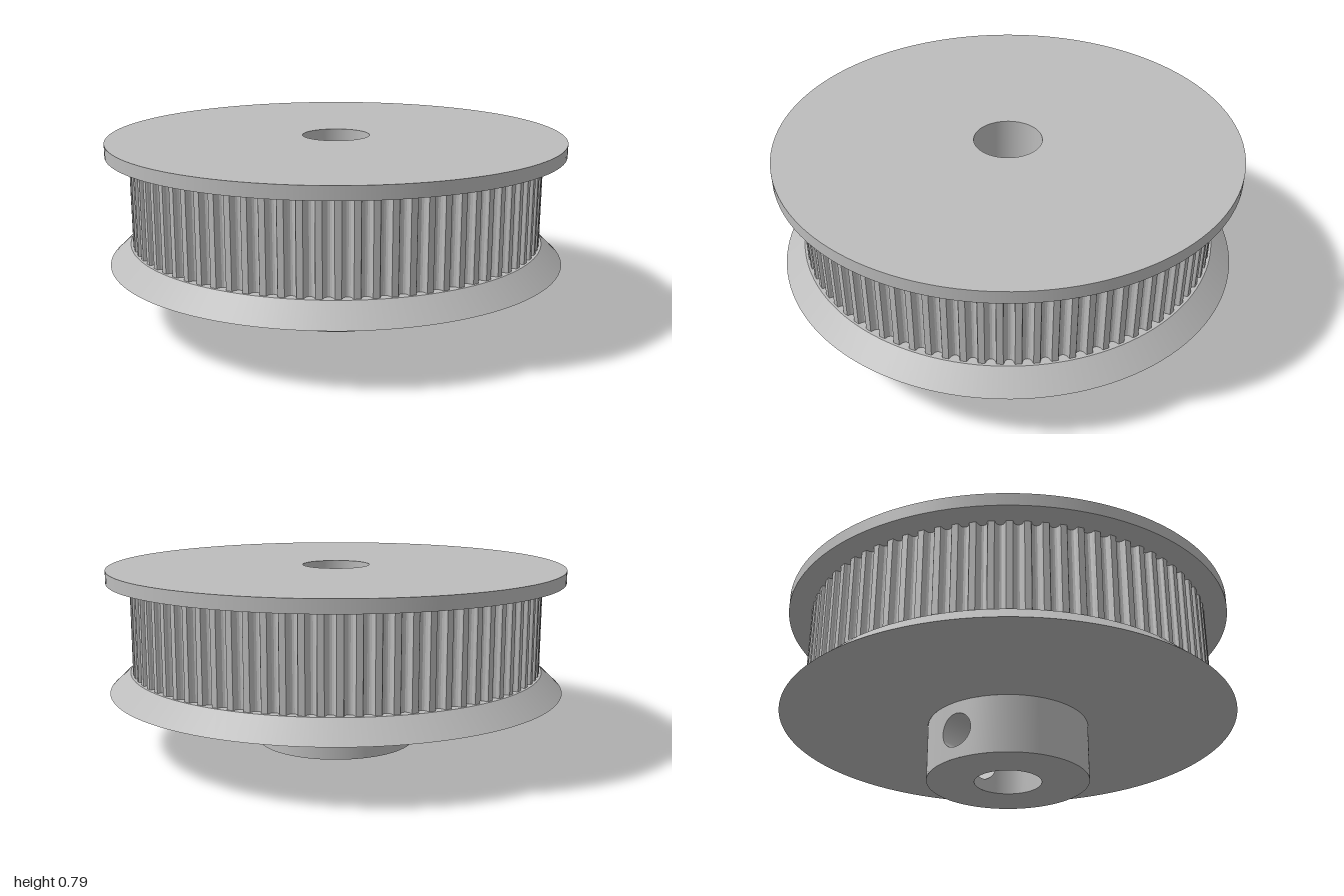
import * as THREE from 'three';
import { ParametricGeometry } from 'three/addons/geometries/ParametricGeometry.js';

const BORE = 0.147, HUB = 0.355, HUB_TOP = 0.255;
const HOLE_R = 0.075, HOLE_Y = 0.128;
const CONE_TOP = 0.34, BELT_TOP = 0.735, TOP = 0.79, BELT_R = 0.9;
const TEETH = 80;

export function createModel() {
  const model = new THREE.Group();
  const steel = new THREE.MeshStandardMaterial({ color: 0xbcbcbc });
  steel.name = 'grey steel';

  const add = (name, geometry, parent = model) => {
    const mesh = new THREE.Mesh(geometry, steel);
    mesh.name = name;
    parent.add(mesh);
    return mesh;
  };

  // One turned face; the profile runs upward for outward-facing walls
  const turned = (name, a, b, parent, start = 0, sweep = Math.PI * 2) =>
    add(name, new THREE.LatheGeometry(
      [new THREE.Vector2(...a), new THREE.Vector2(...b)], Math.round(128 * sweep / (Math.PI * 2)), start, sweep), parent);

  const group = (name) => {
    const g = new THREE.Group();
    g.name = name;
    model.add(g);
    return g;
  };

  // Flat upper flange
  const upper = group('upperFlange');
  turned('upperFlangeUnderside', [0.82, BELT_TOP], [1, BELT_TOP], upper);
  turned('upperFlangeRim', [1, BELT_TOP], [1, TOP], upper);
  turned('upperFlangeFace', [1, TOP], [BORE, TOP], upper);

  // Bevelled lower flange
  const lower = group('lowerFlange');
  turned('lowerFlangeUnderside', [HUB, HUB_TOP], [1, HUB_TOP], lower);
  turned('lowerFlangeBevel', [1, HUB_TOP], [0.91, CONE_TOP], lower);
  turned('lowerFlangeTop', [0.91, CONE_TOP], [0.82, CONE_TOP], lower);

  // Toothed belt seat: each groove is [share of the pitch, depth]
  const groove = [[-0.32, 0], [-0.28, 0.005], [-0.25, 0.015], [-0.17, 0.023], [-0.06, 0.027],
    [0.06, 0.027], [0.17, 0.023], [0.25, 0.015], [0.28, 0.005], [0.32, 0]];
  const outline = [];
  for (let i = 0; i < TEETH; i++) {
    for (const [share, depth] of groove) {
      const angle = (i + share) / TEETH * Math.PI * 2, r = BELT_R - depth;
      outline.push(new THREE.Vector2(r * Math.cos(angle), r * Math.sin(angle)));
    }
  }
  const toothShape = new THREE.Shape(outline);
  toothShape.holes.push(new THREE.Path().absarc(0, 0, 0.8, 0, Math.PI * 2, true));
  const teeth = new THREE.ExtrudeGeometry(toothShape, {
    depth: BELT_TOP - CONE_TOP + 0.01, bevelEnabled: false, curveSegments: 32,
  });
  teeth.rotateX(-Math.PI / 2).translate(0, CONE_TOP - 0.005, 0);
  add('beltTeeth', teeth);

  // Bore through the flanges, and the plain half of the hub
  const hub = group('hub');
  turned('upperBore', [BORE, TOP], [BORE, HUB_TOP], hub);
  turned('hubEndFace', [BORE, 0], [HUB, 0], hub);
  turned('hubWall', [HUB, 0], [HUB, HUB_TOP], hub, -Math.PI / 4, Math.PI);
  turned('hubBore', [BORE, HUB_TOP], [BORE, 0], hub, -Math.PI / 4, Math.PI);

  // Quarter of a cylinder wall around a screw hole: s runs from hole to border
  const wallPoint = (R, centre, s, t, target) => {
    const a = t * Math.PI * 2, c = Math.cos(a), n = Math.sin(a);
    const m = Math.max(Math.abs(c), Math.abs(n));
    const borderY = HUB_TOP / 2 * (1 + n / m);
    const phi = THREE.MathUtils.lerp(Math.asin(HOLE_R * c / R), Math.PI / 4 * c / m, s) + centre;
    const y = THREE.MathUtils.lerp(HOLE_Y + HOLE_R * n, borderY, s);
    target.set(R * Math.sin(phi), y, R * Math.cos(phi));
  };

  // Set-screw holes on the back and the right
  const inner = new THREE.Vector3(), outer = new THREE.Vector3();
  for (const [side, centre] of [['back', Math.PI], ['right', Math.PI * 1.5]]) {
    add(side + 'HubWall', new ParametricGeometry(
      (u, v, p) => wallPoint(HUB, centre, u, v, p), 10, 64), hub);
    add(side + 'HubBore', new ParametricGeometry(
      (u, v, p) => wallPoint(BORE, centre, v, u, p), 64, 10), hub);
    add(side + 'ScrewHole', new ParametricGeometry((u, v, p) => {
      wallPoint(BORE, centre, 0, v, inner);
      wallPoint(HUB, centre, 0, v, outer);
      p.lerpVectors(inner, outer, u);
    }, 2, 64), hub);
  }

  return model;
}
